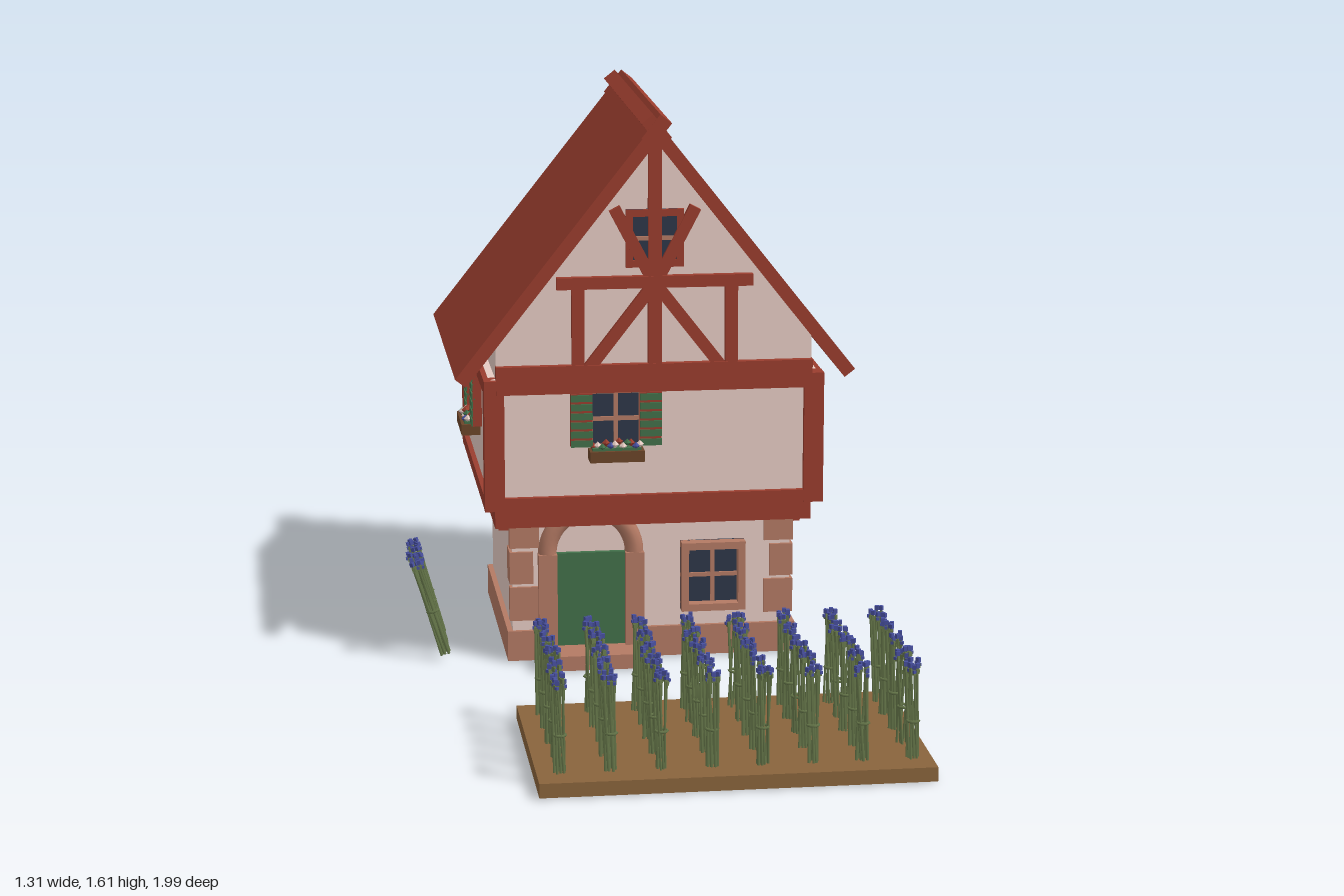
import * as THREE from 'three';
import { mergeGeometries } from 'three/addons/utils/BufferGeometryUtils.js';

const mat = (name, color) => {
  const m = new THREE.MeshStandardMaterial({ color });
  m.name = name;
  return m;
};
const M = {
  plaster: mat('plaster', 0xe6ccc4),
  timber: mat('red timber', 0x9a3d2e),
  stone: mat('stone', 0xb47a64),
  soil: mat('soil', 0x89643c),
  green: mat('painted green', 0x42704a),
  glass: mat('dark glass', 0x2e3748),
  box: mat('box wood', 0x6b4529),
  stem: mat('stem green', 0x66774a),
  blue: mat('blossom blue', 0x474f9e),
};

function add(parent, name, geo, material) {
  const m = new THREE.Mesh(geo, material);
  m.name = name;
  parent.add(m);
  return m;
}

// Box given by its lower and upper limits on each axis
function block(parent, name, material, x0, x1, y0, y1, z0, z1) {
  const m = add(parent, name, new THREE.BoxGeometry(x1 - x0, y1 - y0, z1 - z0), material);
  m.position.set((x0 + x1) / 2, (y0 + y1) / 2, (z0 + z1) / 2);
  return m;
}

// Straight beam between two points of a facade
function beam(parent, name, x1, y1, x2, y2, w, z0, z1) {
  const m = add(parent, name, new THREE.BoxGeometry(Math.hypot(x2 - x1, y2 - y1), w, z1 - z0), M.timber);
  m.position.set((x1 + x2) / 2, (y1 + y2) / 2, (z0 + z1) / 2);
  m.rotation.z = Math.atan2(y2 - y1, x2 - x1);
}

function prism(parent, name, material, pts, depth) {
  const shape = new THREE.Shape(pts.map(p => new THREE.Vector2(...p)));
  const geo = new THREE.ExtrudeGeometry(shape, { depth, bevelEnabled: false });
  add(parent, name, geo.translate(0, 0, -depth / 2), material);
}

// Seeded random numbers
function rng(seed) {
  return () => (seed = (seed * 16807) % 2147483647) / 2147483647;
}

// Framed window with a cross of glazing bars; the wall plane is z = 0
function windowPane(w, h, rim, frameMat, depth) {
  const g = new THREE.Group();
  g.name = 'window';
  const a = w / 2, b = h / 2;
  block(g, 'glass', M.glass, -a, a, -b, b, -0.01, 0.006);
  block(g, 'glazingBar', M.stone, -0.006, 0.006, -b, b, 0, 0.012);
  block(g, 'glazingBar', M.stone, -a, a, -0.006, 0.006, 0, 0.012);
  for (const s of [-1, 1]) {
    const x = s * (a - rim / 2), y = s * (b - rim / 2), r = rim / 2;
    block(g, 'windowFrame', frameMat, x - r, x + r, -b, b, -0.01, depth);
    block(g, 'windowFrame', frameMat, -a, a, y - r, y + r, -0.01, depth);
  }
  return g;
}

// Window with louvred shutters and a flower box
function shutteredWindow() {
  const g = new THREE.Group();
  g.name = 'shutteredWindow';
  const pane = windowPane(0.14, 0.155, 0.004, M.stone, 0.012);
  pane.position.y = 0.735;
  g.add(pane);
  for (const s of [-1, 1]) {
    const x = s * 0.099;
    block(g, 'shutterBack', M.timber, x - 0.031, x + 0.031, 0.656, 0.812, 0, 0.026);
    for (let i = 0; i < 6; i++) {
      const y = 0.657 + i * 0.0265;
      block(g, 'shutterSlat', M.green, x - 0.031, x + 0.031, y, y + 0.0195, 0.02, 0.03);
    }
  }
  block(g, 'flowerBox', M.box, -0.078, 0.078, 0.616, 0.648, 0, 0.055);
  block(g, 'boxFoliage', M.green, -0.07, 0.07, 0.64, 0.656, 0.012, 0.046);
  const tones = [M.timber, M.plaster, M.green, M.timber, M.blue, M.plaster];
  const rand = rng(77);
  for (let i = 0; i < 12; i++) {
    const f = add(g, 'boxBlossom', new THREE.OctahedronGeometry(0.012), tones[i % 6]);
    f.position.set(-0.066 + i * 0.012, 0.658 + rand() * 0.016, 0.022 + rand() * 0.022);
  }
  return g;
}

// Upper storey and gable framing for one end of the house
function facade() {
  const g = new THREE.Group();
  g.name = 'gableFacade';
  const z0 = 0.395, z1 = 0.425;
  block(g, 'gableBeam', M.timber, -0.453, 0.453, 0.812, 0.893, z0, 0.428);
  block(g, 'tieBeam', M.timber, -0.28, 0.28, 1.112, 1.146, z0, z1 + 0.003);
  block(g, 'kingPost', M.timber, -0.019, 0.019, 0.89, 1.54, z0, z1 + 0.002);
  for (const s of [-1, 1]) {
    beam(g, 'queenPost', s * 0.219, 0.89, s * 0.219, 1.12, 0.036, z0, z1);
    beam(g, 'lowerBrace', s * 0.19, 0.88, 0, 1.125, 0.034, z0, z1 - 0.002);
    beam(g, 'upperBrace', 0, 1.12, s * 0.115, 1.34, 0.034, z0, z1 - 0.001);
  }
  const attic = windowPane(0.165, 0.165, 0.02, M.timber, 0.014);
  attic.position.set(0, 1.253, 0.407);
  const win = shutteredWindow();
  win.position.set(-0.112, 0, 0.407);
  g.add(attic, win);
  return g;
}

function house() {
  const g = new THREE.Group();
  g.name = 'house';
  // Ground floor; the wall runs down through the base
  block(g, 'stoneBase', M.stone, -0.42, 0.42, 0.005, 0.094, -0.356, 0.357);
  block(g, 'lowerWall', M.plaster, -0.405, 0.405, 0.003, 0.43, -0.338, 0.345);
  block(g, 'doorStep', M.stone, -0.343, -0.018, 0.005, 0.048, 0.3, 0.472);
  // Corner stones, long along the front and the side by turns
  for (const s of [-1, 1]) {
    [[0.125, 0.225], [0.235, 0.33], [0.342, 0.417]].forEach(([y0, y1], i) => {
      const inner = i === 1 ? 0.345 : 0.328, zBack = i === 1 ? 0.27 : 0.325;
      const [a, b] = s > 0 ? [inner, 0.413] : [-0.413, -inner];
      block(g, 'cornerStone', M.stone, a, b, y0, y1, zBack, 0.355);
    });
    for (let i = 0; i < 4; i++) {
      const z = 0.292 - i * 0.194;
      block(g, 'joistEnd', M.timber, s * 0.42 - 0.02, s * 0.42 + 0.02, 0.385, 0.42, z - 0.017, z + 0.017);
    }
  }
  // Arched doorway
  const cx = -0.178;
  block(g, 'door', M.green, cx - 0.1, cx + 0.1, 0.048, 0.325, 0.33, 0.361);
  for (const s of [-1, 1])
    block(g, 'doorPillar', M.stone, cx + s * 0.126 - 0.027, cx + s * 0.126 + 0.027, 0.04, 0.325, 0.33, 0.38);
  const arch = add(g, 'doorArch', new THREE.TorusGeometry(0.126, 0.027, 10, 24, Math.PI), M.stone);
  arch.position.set(cx, 0.325, 0.353);
  const low = windowPane(0.186, 0.205, 0.021, M.stone, 0.04);
  low.position.set(0.177, 0.246, 0.345);
  g.add(low);

  // Upper storey
  block(g, 'floorBeam', M.timber, -0.457, 0.457, 0.415, 0.474, -0.398, 0.398);
  block(g, 'upperWall', M.plaster, -0.4725, 0.4725, 0.473, 0.853, -0.407, 0.407);
  for (const s of [-1, 1]) {
    for (const e of [-1, 1]) {
      block(g, 'cornerPost', M.timber, s * 0.459 - 0.0285, s * 0.459 + 0.0285, 0.472, 0.853,
        e * 0.3985 - 0.0265, e * 0.3985 + 0.0265);
    }
    block(g, 'sideSill', M.timber, s * 0.46 - 0.027, s * 0.46 + 0.027, 0.472, 0.508, -0.42, 0.42);
    block(g, 'sidePlate', M.timber, s * 0.46 - 0.027, s * 0.46 + 0.027, 0.812, 0.852, -0.42, 0.42);
    block(g, 'endSill', M.timber, -0.48, 0.48, 0.473, 0.509, s * 0.4 - 0.024, s * 0.4 + 0.024);
    // The side windows are a little wider than those on the gable ends
    const win = shutteredWindow();
    win.position.set(s * 0.4725, 0, -0.003);
    win.rotation.y = s * Math.PI / 2;
    win.scale.x = 1.15;
    g.add(win);
  }
  const front = facade(), back = facade();
  back.rotation.y = Math.PI;
  g.add(front, back);

  // Gable block, roof and ridge
  prism(g, 'gableWall', M.plaster, [[-0.4525, 0.85], [0.4525, 0.85], [0.4525, 0.96], [0, 1.54], [-0.4525, 0.96]], 0.812);
  prism(g, 'roof', M.timber, [[0, 1.591], [-0.571, 0.868], [-0.541, 0.845], [0, 1.531], [0.541, 0.845], [0.571, 0.868]], 0.907);
  for (const s of [-1, 1]) {
    const r = add(g, 'ridgeBeam', new THREE.BoxGeometry(0.085, 0.042, 0.915 + s * 0.001), M.timber);
    r.position.y = 1.564;
    r.rotation.z = s * 0.9;
  }
  return g;
}

// Tied bundle of flower stalks: stalk, blossom and tie geometries
function bundleParts(seed) {
  const rand = rng(seed), stalks = [], heads = [];
  for (let i = 0; i < 8; i++) {
    const a = i * 2.4, r0 = 0.008 + rand() * 0.012, b = a + 0.6 + rand(), r1 = 0.008 + rand() * 0.015;
    const p = new THREE.Vector3(Math.cos(a) * r0, 0, Math.sin(a) * r0);
    const q = new THREE.Vector3(Math.cos(b) * r1, 0.275 + rand() * 0.022, Math.sin(b) * r1);
    const d = q.clone().sub(p), c = p.clone().lerp(q, 0.5);
    const turn = new THREE.Quaternion().setFromUnitVectors(new THREE.Vector3(0, 1, 0), d.clone().normalize());
    stalks.push(new THREE.CylinderGeometry(0.0036, 0.0042, d.length(), 4).applyQuaternion(turn).translate(c.x, c.y, c.z));
    // Green bud under a small blue petal block, some with a second petal
    stalks.push(new THREE.BoxGeometry(0.009, 0.012, 0.009).translate(q.x, q.y - 0.012, q.z));
    heads.push(new THREE.BoxGeometry(0.0105, 0.012, 0.0105).rotateY(b).translate(q.x, q.y + 0.004, q.z));
    if (i % 2) heads.push(new THREE.BoxGeometry(0.008, 0.008, 0.008).translate(q.x * 1.25, q.y - 0.009, q.z * 1.25));
  }
  const tie = new THREE.TorusGeometry(0.016, 0.004, 4, 8).rotateX(Math.PI / 2).translate(0, 0.135, 0);
  return [mergeGeometries(stalks), mergeGeometries(heads), tie];
}

export function createModel() {
  const model = new THREE.Group();
  model.name = 'cottageWithGarden';
  const home = house();
  home.position.set(0.0535, 0, -0.532);
  model.add(home);

  // Flower bed, with eight by five bundles
  block(model, 'flowerBed', M.soil, -0.39, 0.655, 0.006, 0.045, 0.355, 1);
  const kinds = [11, 42, 97].map(bundleParts);
  const plant = (x, y, z, i) => {
    const p = new THREE.Group(), [stalks, heads, tie] = kinds[i % 3];
    p.name = 'flowerBundle';
    add(p, 'stalks', stalks, M.stem);
    add(p, 'blossoms', heads, M.blue);
    add(p, 'tie', tie, M.stem);
    p.position.set(x, y, z);
    model.add(p);
    return p;
  };
  for (let r = 0; r < 5; r++)
    for (let c = 0; c < 8; c++) plant(-0.328 + c * 0.133, 0.012, 0.432 + r * 0.1205, r + c).rotation.y = r * 1.3 + c * 0.9;

  // Bundles leaning beside the house
  for (let i = 0; i < 3; i++) plant(-0.545, 0.024, -0.415 + i * 0.1, i).rotation.z = 0.27;
  return model;
}
